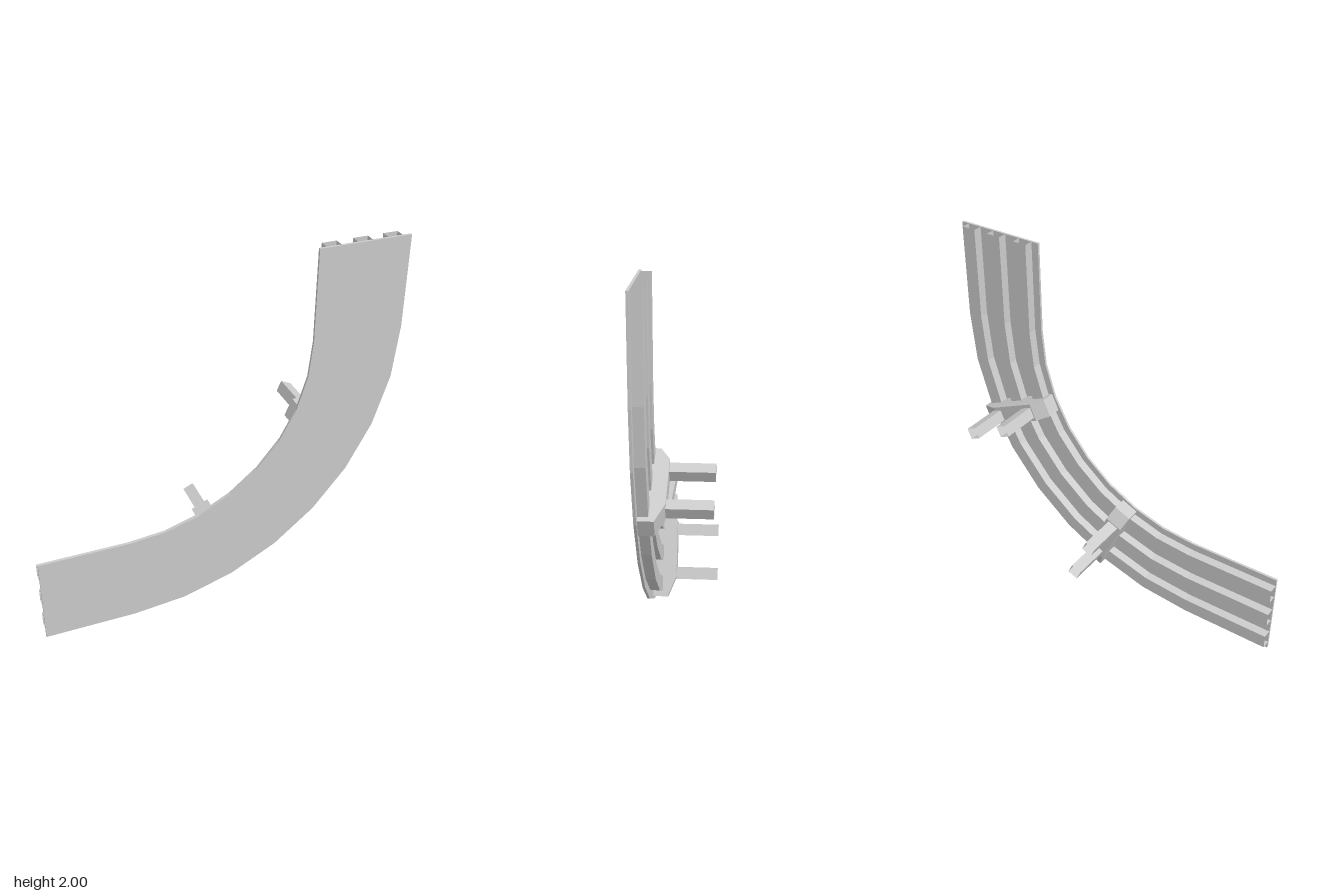
import * as THREE from 'three';

const CX = -0.5, CY = 1.5;            // centre of the bend
const FRONT = 0.178, SHEET = 0.165, BACK = 0.115;
const STEPS = 8;

// Point at radius r for every station: straight run, faceted bend, straight run
function pathPoints(r) {
  const pts = [new THREE.Vector2(-1, CY - r)];
  for (let i = 0; i <= STEPS; i++) {
    const a = (i / STEPS) * Math.PI / 2;
    pts.push(new THREE.Vector2(CX + r * Math.sin(a), CY - r * Math.cos(a)));
  }
  pts.push(new THREE.Vector2(CX + r, 2));
  return pts;
}

// Sweep an open [radius, z] profile along the path
function sweep(profile) {
  const pos = [], idx = [];
  const rails = profile.map(([r, z]) => pathPoints(r).map(p => [p.x, p.y, z]));
  const n = rails[0].length;
  rails.forEach(rail => rail.forEach(p => pos.push(...p)));
  for (let i = 0; i < rails.length - 1; i++) {
    for (let s = 0; s < n - 1; s++) {
      const a = i * n + s, b = a + n;
      idx.push(a, a + 1, b + 1, a, b + 1, b);
    }
  }
  const g = new THREE.BufferGeometry();
  g.setAttribute('position', new THREE.Float32BufferAttribute(pos, 3));
  g.setIndex(idx);
  g.computeVertexNormals();
  return g;
}

export function createModel() {
  const model = new THREE.Group();
  model.name = 'curvedPanel';
  const solid = new THREE.MeshStandardMaterial({ color: 0xcccccc, flatShading: true });
  const open = new THREE.MeshStandardMaterial({
    color: 0xcccccc, flatShading: true, side: THREE.DoubleSide,
  });
  const add = (parent, name, geometry, material) => {
    const mesh = new THREE.Mesh(geometry, material);
    mesh.name = name;
    parent.add(mesh);
    return mesh;
  };

  // Thin curved sheet
  const outline = new THREE.Shape([...pathPoints(1.5), ...pathPoints(1).reverse()]);
  const sheet = new THREE.ExtrudeGeometry(outline, { depth: FRONT - SHEET, bevelEnabled: false });
  sheet.translate(0, 0, SHEET);
  add(model, 'sheet', sheet, solid);

  // Three open-ended channel ribs along the back
  [1.08, 1.25, 1.415].forEach((r, i) => {
    const h = 0.04;
    const profile = [[r - h, SHEET], [r - h, BACK], [r + h, BACK], [r + h, SHEET]];
    add(model, 'rib' + (i + 1), sweep(profile), open);
  });

  // Two brackets across the ribs, each carrying a pair of hollow posts
  const bracketShape = new THREE.Shape([
    [1.01, SHEET], [1.01, 0.088], [1.08, 0.043], [1.37, 0.043], [1.48, 0.088], [1.48, SHEET],
  ].map(([r, z]) => new THREE.Vector2(r, z)));
  const postLength = 0.223;

  [['upper', 24.3], ['lower', 65.7]].forEach(([side, degrees]) => {
    const support = new THREE.Group();
    support.name = side + 'Support';
    support.position.set(CX, CY, 0);
    support.rotation.z = -THREE.MathUtils.degToRad(degrees);   // local x runs radially
    model.add(support);

    const bracket = new THREE.ExtrudeGeometry(bracketShape, { depth: 0.1, bevelEnabled: false });
    bracket.rotateX(Math.PI / 2);
    bracket.translate(0, 0.05, 0);
    add(support, side + 'Bracket', bracket, solid);

    [1.117, 1.354].forEach((r, i) => {
      const radius = 0.062 / Math.SQRT2;
      const post = new THREE.CylinderGeometry(radius, radius, postLength, 4, 1, true);
      post.rotateY(Math.PI / 4);
      post.rotateX(Math.PI / 2);
      add(support, side + 'Post' + (i + 1), post, open)
        .position.set(r, 0, 0.045 - postLength / 2);
    });
  });

  return model;
}
